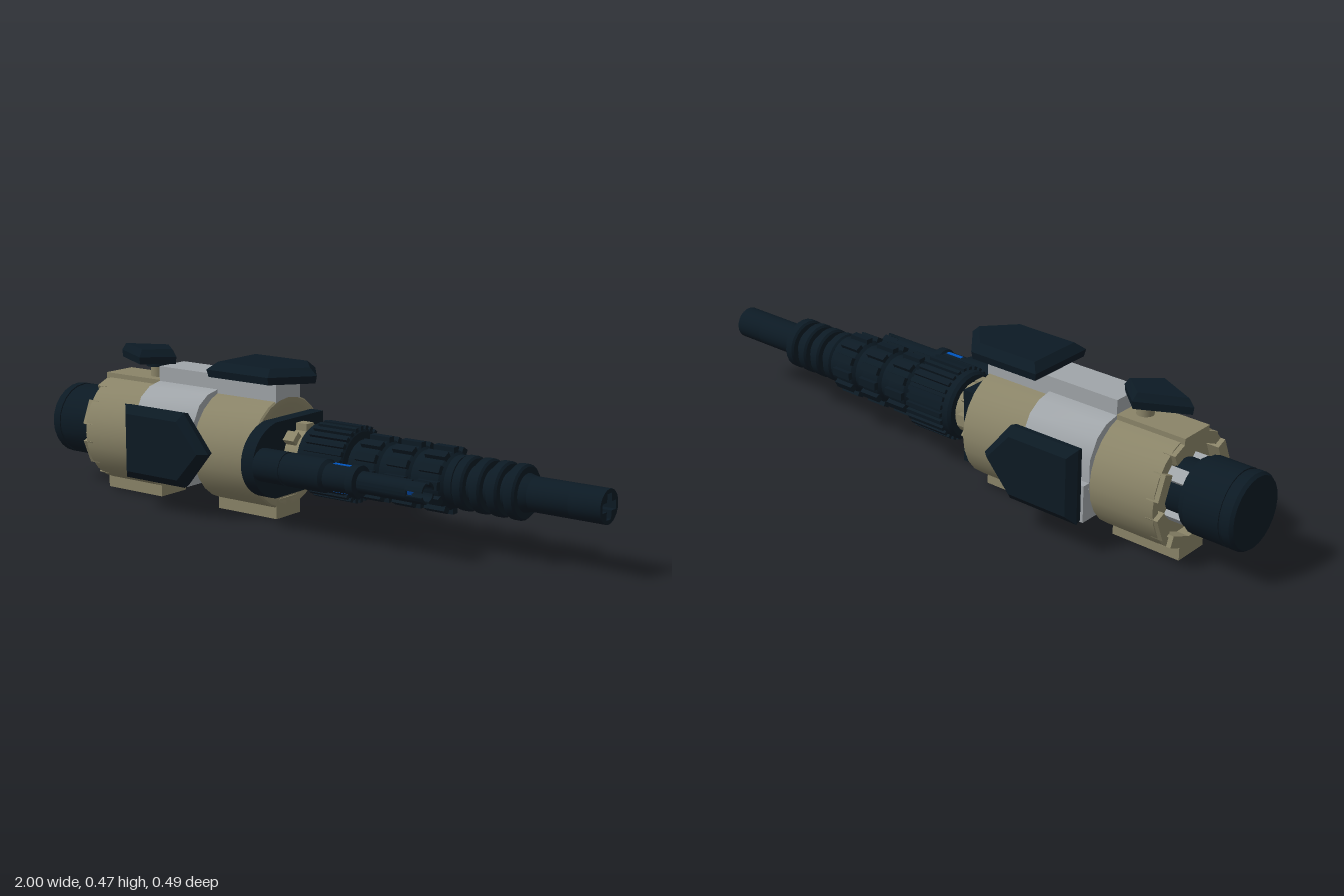
import * as THREE from 'three';
import { toCreasedNormals } from 'three/addons/utils/BufferGeometryUtils.js';

const AXIS_Y = 0.2;
const mats = {};
for (const [k, c] of Object.entries({ dark: 0x0c1a24, tan: 0x8a8468, grey: 0xa0a5a9, blue: 0x0055bf }))
  mats[k] = new THREE.MeshStandardMaterial({ color: c, side: THREE.DoubleSide });

export function createModel() {
  const model = new THREE.Group();
  model.name = 'barrelAssembly';

  function add(name, geo, mat, x = 0, y = 0, z = 0, parent = model) {
    const m = new THREE.Mesh(geo, mats[mat]);
    m.name = name;
    m.position.set(x, y, z);
    parent.add(m);
    return m;
  }
  const box = (name, mat, x0, x1, y0, y1, z0, z1, parent) =>
    add(name, new THREE.BoxGeometry(x1 - x0, y1 - y0, z1 - z0), mat, (x0 + x1) / 2, (y0 + y1) / 2, (z0 + z1) / 2, parent);

  // Turned part along x from [x, radius] pairs
  function turned(name, mat, profile, y = AXIS_Y, z = 0, sides = 24) {
    const geo = new THREE.LatheGeometry(profile.map(([x, r]) => new THREE.Vector2(r, x)), sides);
    geo.rotateZ(-Math.PI / 2);
    return add(name, toCreasedNormals(geo, 0.5), mat, 0, y, z);
  }
  // Shape drawn in (-z, y), extruded along x
  function alongX(name, mat, shape, x0, x1, y = 0, z = 0) {
    const geo = new THREE.ExtrudeGeometry(shape, { depth: x1 - x0, bevelEnabled: false, curveSegments: 12 });
    geo.rotateY(Math.PI / 2);
    return add(name, toCreasedNormals(geo, 0.5), mat, x0, y, z);
  }
  // Ring of boxes around the barrel axis
  function ring(name, mat, n, x0, x1, r0, r1, w, turn = 0, y = AXIS_Y, z = 0) {
    const g = new THREE.Group();
    g.name = name;
    g.position.set(0, y, z);
    model.add(g);
    for (let i = 0; i < n; i++) {
      const spoke = new THREE.Group();
      spoke.rotation.x = ((i + turn) / n) * Math.PI * 2;
      g.add(spoke);
      box(name + 'Block', mat, x0, x1, r0, r1, -w / 2, w / 2, spoke);
    }
  }
  const poly = (pts) => new THREE.Shape(pts.map(([x, y]) => new THREE.Vector2(x, y)));
  const rect = (w, h) => [[-w, -h], [w, -h], [w, h], [-w, h]];
  const cross = (a, b) => [[-b, -a], [b, -a], [b, -b], [a, -b], [a, b], [b, b], [b, a], [-b, a], [-b, b], [-a, b], [-a, -b], [-b, -b]];

  // Rear cap and its neck
  turned('rearCap', 'dark', [[-1, 0], [-1, 0.108], [-0.99, 0.115], [-0.965, 0.115], [-0.965, 0.111], [-0.955, 0.111],
    [-0.955, 0.115], [-0.84, 0.115], [-0.84, 0.105], [-0.82, 0.105], [-0.82, 0]]);
  turned('rearNeck', 'dark', [[-0.83, 0.085], [-0.74, 0.085]]);
  ring('rearStud', 'grey', 4, -0.825, -0.76, 0.07, 0.1, 0.04, 0.5);

  // Two body drums, with recessed rear rim
  turned('rearDrum', 'tan', [[-0.76, 0], [-0.76, 0.15], [-0.785, 0.15], [-0.785, 0.175], [-0.57, 0.175], [-0.57, 0]]);
  ring('rimTooth', 'tan', 8, -0.8, -0.76, 0.135, 0.17, 0.08, 0.5);
  turned('frontDrum', 'tan', [[-0.33, 0], [-0.33, 0.175], [-0.105, 0.175], [-0.1, 0.17], [-0.1, 0.15], [-0.11, 0.13], [-0.11, 0]]);
  turned('innerCore', 'tan', [[-0.58, 0.1], [-0.32, 0.1]]);
  box('rearTopPlate', 'tan', -0.8, -0.57, 0.34, 0.379, -0.058, 0.058);

  // Hollow feet and side sockets, open underneath with a tube inside
  function socket(name, mat, cx, cz, hx, hz, y0, y1) {
    const g = new THREE.Group();
    g.name = name;
    g.position.set(cx, y0, cz);
    model.add(g);
    const s = poly(rect(hx, hz));
    for (const sx of [-1, 1]) {
      const w = hx / 2 - 0.016;
      s.holes.push(new THREE.Path(rect(w, hz - 0.018).map(([x, y]) => new THREE.Vector2(x + sx * hx / 2, y))));
    }
    const walls = new THREE.ExtrudeGeometry(s, { depth: y1 - y0, bevelEnabled: false });
    walls.rotateX(-Math.PI / 2);
    add(name + 'Walls', walls, mat, 0, 0, 0, g);
    box(name + 'Roof', mat, -hx, hx, 0.02, y1 - y0, -hz, hz, g);
    add(name + 'Tube', new THREE.CylinderGeometry(0.026, 0.026, 0.025, 16), mat, 0, 0.0125, 0, g);
  }
  socket('rearFoot', 'tan', -0.685, 0, 0.115, 0.058, 0, 0.06);
  socket('frontFoot', 'tan', -0.215, 0, 0.115, 0.058, 0, 0.06);
  for (const s of [-1, 1]) socket('sideSocket', 'grey', -0.45, s * 0.155, 0.119, 0.045, 0.095, 0.21);

  // Grey saddle over the middle, and rail on top
  const arch = [[-0.176, 0.19], [-0.176, 0.28], [-0.145, 0.338], [-0.105, 0.366], [-0.058, 0.376]];
  const mirrored = arch.map(([a, b]) => [-a, b]).reverse();
  alongX('saddle', 'grey', poly([...arch, ...mirrored]), -0.57, -0.33);
  box('topRail', 'grey', -0.57, -0.1, 0.36, 0.423, -0.058, 0.058);

  // Chamfered armour panels, outline in (x, y), outward along z
  function panel(name, outline, x, y, z, rx) {
    const geo = new THREE.ExtrudeGeometry(poly(outline), { depth: 0.046, steps: 2, bevelEnabled: false });
    const p = geo.attributes.position;
    for (let i = 0; i < p.count; i++) {
      const d = p.getZ(i);
      const [sx, sy] = d > 0.03 ? [0.85, 0.78] : d < 0.01 ? [0.97, 0.96] : [1, 1];
      p.setXY(i, p.getX(i) * sx, p.getY(i) * sy);
    }
    add(name, toCreasedNormals(geo, 0.2), 'dark', x, y, z).rotation.x = rx;
  }
  const arrow = [[-0.165, -0.116], [0.075, -0.116], [0.17, 0], [0.075, 0.116], [-0.165, 0.116]];
  panel('leftPanel', arrow, -0.4, 0.213, 0.2, 0);
  panel('rightPanel', arrow, -0.4, 0.213, -0.2, Math.PI);
  panel('topPanel', arrow, -0.16, 0.424, 0, -Math.PI / 2);
  panel('rearFin', [[-0.12, 0], [0.03, -0.08], [0.115, 0], [0.03, 0.08]], -0.665, 0.424, 0, -Math.PI / 2);
  add('finPost', new THREE.CylinderGeometry(0.026, 0.026, 0.055, 16), 'tan', -0.625, 0.402, 0);
  add('finCollar', new THREE.CylinderGeometry(0.04, 0.04, 0.015, 16), 'dark', -0.625, 0.42, 0);

  // Bracket plate, square on the right and rounded on the left
  const bracket = new THREE.Shape();
  bracket.moveTo(0.115, 0.084);
  bracket.lineTo(0.115, 0.316);
  bracket.lineTo(-0.115, 0.316);
  bracket.bezierCurveTo(-0.175, 0.305, -0.225, 0.26, -0.225, 0.2);
  bracket.bezierCurveTo(-0.225, 0.14, -0.175, 0.095, -0.115, 0.084);
  alongX('bracket', 'dark', bracket, -0.1, -0.055);

  // Tan collar and ribbed grip
  turned('collar', 'tan', [[-0.06, 0.08], [0.03, 0.08]]);
  ring('collarTooth', 'tan', 8, -0.055, -0.015, 0.07, 0.1, 0.035);
  turned('grip', 'dark', [[0.01, 0], [0.01, 0.1], [0.02, 0.107], [0.175, 0.107], [0.18, 0.1], [0.18, 0]]);
  ring('gripRib', 'dark', 28, 0.04, 0.178, 0.1, 0.116, 0.013);

  // Studded barrel shroud in three bands
  turned('shroudCore', 'dark', [[0.18, 0.076], [0.54, 0.076], [0.54, 0]]);
  for (let b = 0; b < 3; b++) {
    const x = 0.2 + b * 0.112;
    turned('shroudBand', 'dark', [[x, 0.07], [x + 0.018, 0.086], [x + 0.08, 0.086], [x + 0.1, 0.07]]);
    ring('shroudLug', 'dark', 12, x + 0.015, x + 0.085, 0.08, 0.098, 0.024);
  }

  // Stepped rings and muzzle tube with a cross-shaped bore
  const steps = [[0.53, 0.055]];
  for (let i = 0; i < 4; i++) {
    const x = 0.542 + i * 0.056;
    steps.push([x, 0.056], [x, 0.074], [x + 0.006, 0.08], [x + 0.03, 0.08], [x + 0.036, 0.074], [x + 0.036, 0.056]);
  }
  steps.push([0.77, 0.05]);
  turned('steppedRings', 'dark', steps);
  turned('muzzleBase', 'dark', [[0.75, 0.05], [0.9, 0.05], [0.9, 0]]);
  const bore = new THREE.Shape().absarc(0, 0, 0.05, 0, Math.PI * 2);
  bore.holes.push(new THREE.Path(cross(0.037, 0.013).map(([x, y]) => new THREE.Vector2(x, y))));
  alongX('muzzle', 'dark', bore, 0.9, 1, AXIS_Y);

  // Side barrel with blue inner rod and slotted tip
  const SZ = 0.178;
  turned('sideBarrel', 'dark', [[-0.055, 0.05], [0.04, 0.05], [0.04, 0.047], [0.05, 0.047], [0.05, 0.05], [0.185, 0.05],
    [0.195, 0.041], [0.275, 0.041], [0.28, 0.047], [0.305, 0.047], [0.31, 0.032], [0.48, 0.032], [0.48, 0.025], [0.3, 0.025]], AXIS_Y, SZ, 20);
  alongX('blueRod', 'blue', poly(cross(0.023, 0.012)), 0.19, 0.47, AXIS_Y, SZ);
  ring('blueSlot', 'blue', 2, 0.21, 0.27, 0.03, 0.042, 0.012, 0.5, AXIS_Y, SZ);
  model.children[model.children.length - 1].rotation.x = Math.PI / 2;
  for (let i = 0; i < 4; i++) {
    const a = (i * Math.PI) / 2 + 0.22, b = a + Math.PI / 2 - 0.44;
    const jaw = new THREE.Shape();
    jaw.absarc(0, 0, 0.032, a, b, false);
    jaw.absarc(0, 0, 0.025, b, a, true);
    alongX('tipJaw', 'dark', jaw, 0.475, 0.533, AXIS_Y, SZ);
  }
  return model;
}
